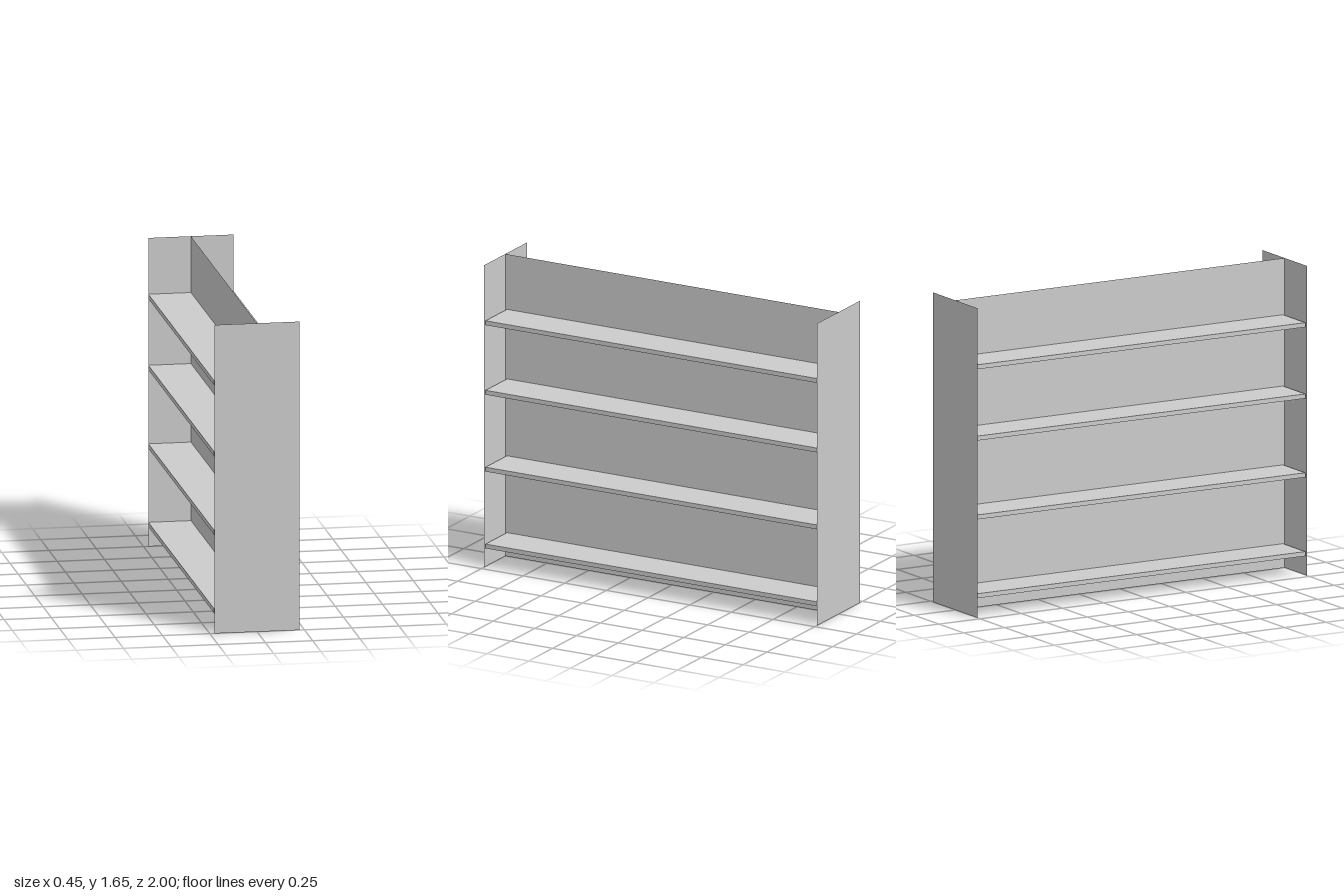
import * as THREE from 'three';

export function createModel() {
  const group = new THREE.Group();
  group.name = 'doubleSidedShelf';
  const material = new THREE.MeshStandardMaterial({
    color: 0xcccccc, flatShading: true, side: THREE.DoubleSide,
  });
  const height = 1.65;
  const depth = 0.225; // reach of each side from the centre panel

  function add(name, geometry, x, y, z) {
    const mesh = new THREE.Mesh(geometry, material);
    mesh.name = name;
    mesh.position.set(x, y, z);
    group.add(mesh);
    return mesh;
  }

  // Thin end panels
  const endGeometry = new THREE.PlaneGeometry(depth * 2, height);
  add('frontEndPanel', endGeometry, 0, height / 2, 1);
  add('backEndPanel', endGeometry, 0, height / 2, -1).rotation.y = Math.PI;

  // Thin divider running the whole length
  const divider = new THREE.PlaneGeometry(2, height).rotateY(Math.PI / 2);
  add('centrePanel', divider, 0, height / 2, 0);

  // Four shelves on each side of the divider, just short of the front panel
  const shelfGeometry = new THREE.BoxGeometry(depth, 0.024, 1.99);
  for (const y of [0.117, 0.537, 0.957, 1.337]) {
    for (const side of [1, -1]) {
      add(side > 0 ? 'leftShelf' : 'rightShelf', shelfGeometry, side * depth / 2, y, -0.005);
    }
  }
  return group;
}
